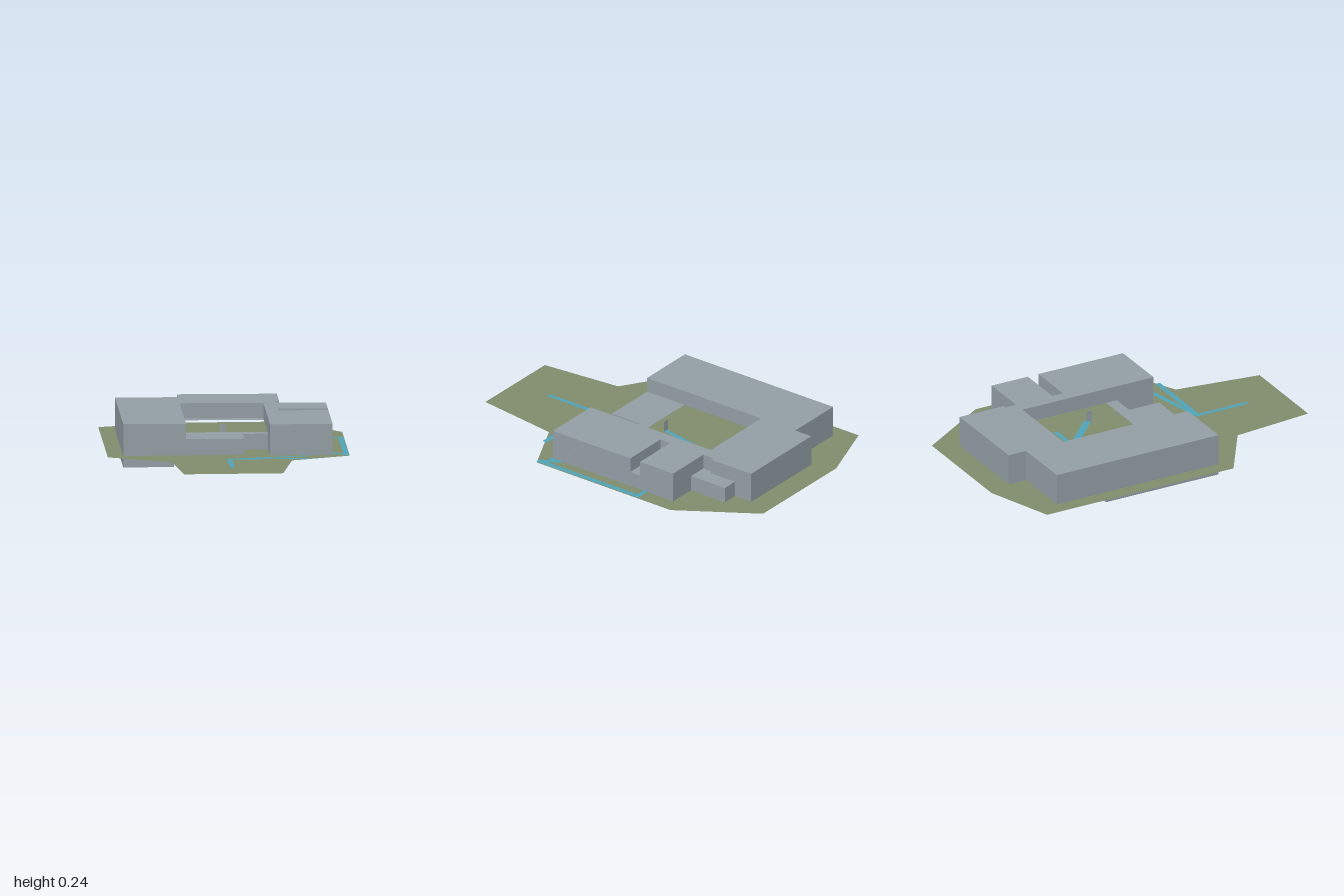
import * as THREE from 'three';

const mat = (name, color, side = THREE.FrontSide) => {
  const m = new THREE.MeshStandardMaterial({ color, side });
  m.name = name;
  return m;
};

// Plan points are [x, z]; shapes are drawn with y = -z and then laid flat.
const plan = (pts) => pts.map(([x, z]) => new THREE.Vector2(x, -z));

// Gentle slope of the site
const groundY = (x, z) => 0.0655 + 0.005 * x + 0.002 * z;

function drape(geo, lift) {
  geo.rotateX(-Math.PI / 2);
  const p = geo.attributes.position;
  for (let i = 0; i < p.count; i++) p.setY(i, groundY(p.getX(i), p.getZ(i)) + lift);
  geo.computeVertexNormals();
  return geo;
}

export function createModel() {
  const group = new THREE.Group();
  group.name = 'courtyardBuilding';
  const wall = mat('wall grey', 0x929ea5);
  const grass = mat('grass olive', 0x818c6c, THREE.DoubleSide);
  const water = mat('path blue', 0x4fa3b8, THREE.DoubleSide);

  const add = (name, geo, material) => {
    const m = new THREE.Mesh(geo, material);
    m.name = name;
    group.add(m);
    return m;
  };
  const block = (name, pts, y0, y1, hole) => {
    const s = new THREE.Shape(plan(pts));
    if (hole) s.holes.push(new THREE.Path(plan(hole)));
    const g = new THREE.ExtrudeGeometry(s, { depth: y1 - y0, bevelEnabled: false });
    g.rotateX(-Math.PI / 2).translate(0, y0, 0);
    add(name, g, wall);
  };

  // Site
  const site = new THREE.Shape(plan([
    [-0.28, -1], [0.39, -1], [0.665, -0.57], [0.665, 0.35], [0.34, 0.51],
    [0.27, 1], [-0.275, 1], [-0.32, 0.53], [-0.665, 0.31], [-0.665, -0.865],
  ]));
  add('ground', drape(new THREE.ShapeGeometry(site), 0), grass);

  // Lower storey around the courtyard
  block('lowerStorey', [
    [-0.578, -0.755], [-0.232, -0.755], [-0.232, -0.865], [0.318, -0.865], [0.318, -0.753],
    [0.41, -0.753], [0.41, -0.52], [0.573, -0.52], [0.573, 0.308], [0.228, 0.308],
    [0.228, 0.077], [0.09, 0.077], [0.09, 0.265], [-0.578, 0.265],
  ], 0.06, 0.155, [[-0.232, -0.452], [0.228, -0.452], [0.228, 0.008], [-0.232, 0.008]]);

  // Upper storey, leaving low roofs and a side slot open
  block('upperStorey', [
    [-0.578, -0.755], [-0.232, -0.755], [-0.232, -0.865], [0.318, -0.865], [0.318, -0.588],
    [0.298, -0.588], [0.298, -0.52], [0.573, -0.52], [0.573, -0.292], [0.298, -0.292],
    [0.298, -0.225], [0.573, -0.225], [0.573, 0.308], [0.228, 0.308], [0.228, -0.52],
    [-0.232, -0.52], [-0.232, 0.265], [-0.578, 0.265],
  ], 0.155, 0.24);

  // Basement under the left wing
  block('basement', [[-0.578, -0.445], [-0.3, -0.445], [-0.3, 0.265], [-0.578, 0.265]], 0, 0.06);

  // Doors with rounded tops: x, z and facing angle
  const doorShape = new THREE.Shape();
  doorShape.moveTo(-0.017, 0);
  doorShape.lineTo(0.017, 0);
  doorShape.lineTo(0.017, 0.055);
  doorShape.quadraticCurveTo(0.016, 0.064, 0.008, 0.064);
  doorShape.lineTo(-0.008, 0.064);
  doorShape.quadraticCurveTo(-0.016, 0.064, -0.017, 0.055);
  const doorGeo = new THREE.ExtrudeGeometry(doorShape, { depth: 0.002, bevelEnabled: false, curveSegments: 3 });
  [
    [-0.117, 0.265, 0],
    [0, -0.452, 0],
    [0.573, 0.195, Math.PI / 2],
    [0.228, -0.1, -Math.PI / 2],
    [-0.06, 0.008, Math.PI],
  ].forEach(([x, z, angle]) => {
    const d = add('door', doorGeo, wall);
    d.position.set(x, 0.069, z);
    d.rotation.y = angle;
  });

  // Flat path strips: start, end and width
  [
    [0, 0.77, 0, 0.44, 0.026],
    [0, 0.455, 0.445, 0.355, 0.028],
    [0, 0.457, 0.45, 0.457, 0.03],
    [0.647, 0.355, 0.647, -0.345, 0.03],
    [0.66, -0.331, 0.573, -0.331, 0.028],
    [0.645, 0.345, 0.575, 0.24, 0.026],
    [0.65, 0.3, 0.575, 0.3, 0.026],
    [0, -0.452, 0, 0.008, 0.026],
    [0, -0.327, 0.2, -0.327, 0.028],
    [0.01, -0.32, 0.228, -0.11, 0.04],
    [0, -0.3, -0.06, 0.008, 0.026],
    [0.222, -0.452, 0.222, -0.36, 0.012],
  ].forEach(([x0, z0, x1, z1, w], i) => {
    const len = Math.hypot(x1 - x0, z1 - z0);
    const nx = (-(z1 - z0) / len) * w / 2, nz = ((x1 - x0) / len) * w / 2;
    const s = new THREE.Shape(plan([
      [x0 + nx, z0 + nz], [x1 + nx, z1 + nz], [x1 - nx, z1 - nz], [x0 - nx, z0 - nz],
    ]));
    add('path', drape(new THREE.ShapeGeometry(s), 0.003 + i * 0.0001), water);
  });

  return group;
}
